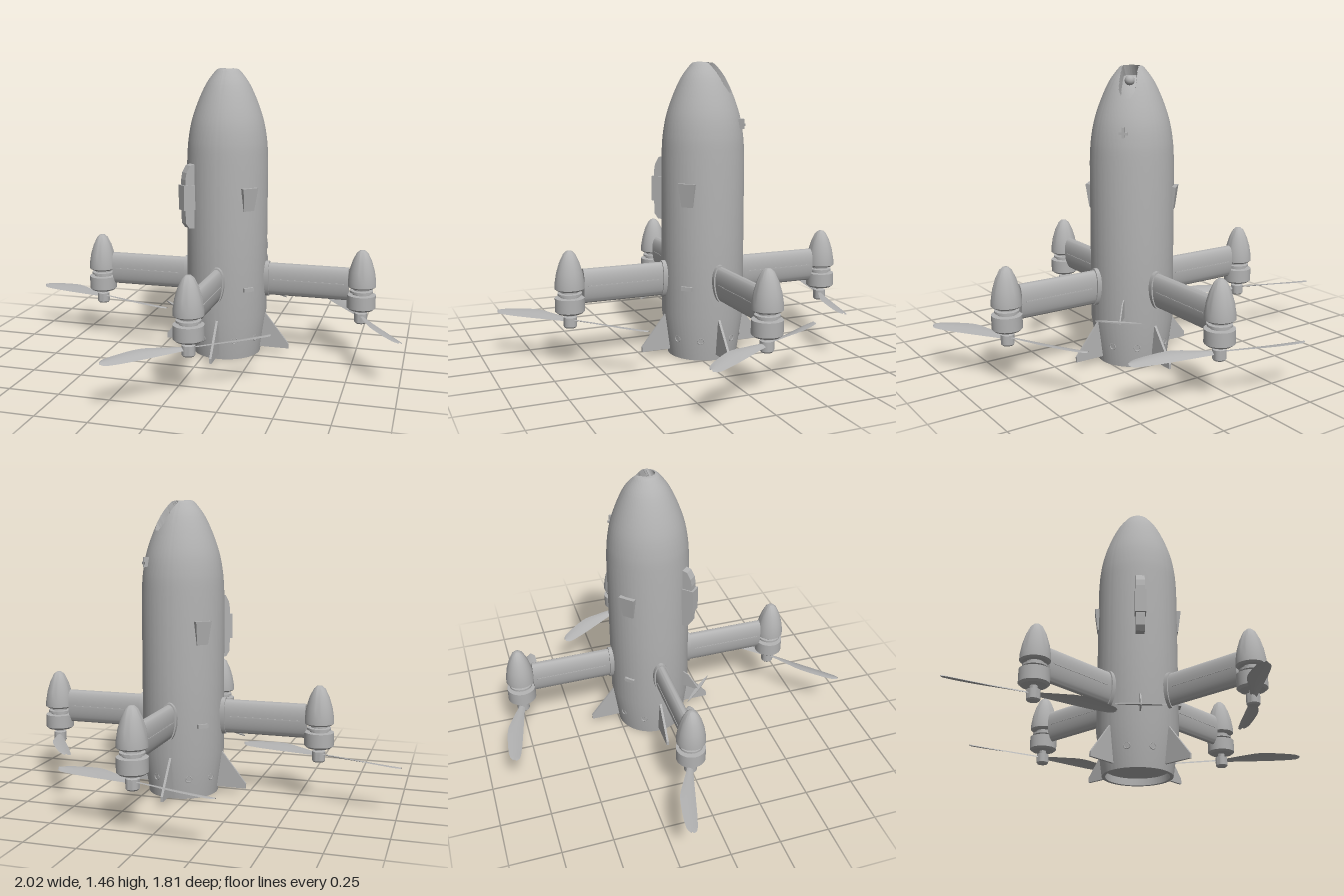
import * as THREE from 'three';
import { toCreasedNormals } from 'three/addons/utils/BufferGeometryUtils.js';

const V = (x, y) => new THREE.Vector2(x, y);
const grey = new THREE.MeshStandardMaterial({ color: 0xb2b2b2, side: THREE.DoubleSide });
grey.name = 'grey';

function add(parent, name, geometry, x = 0, y = 0, z = 0) {
  const mesh = new THREE.Mesh(geometry, grey);
  mesh.name = name;
  mesh.position.set(x, y, z);
  parent.add(mesh);
  return mesh;
}

// Group turned about the body axis; its local +x points outward
function radial(parent, name, degrees) {
  const g = new THREE.Group();
  g.name = name;
  g.rotation.y = THREE.MathUtils.degToRad(degrees);
  parent.add(g);
  return g;
}

const lathe = (points, n = 40) =>
  toCreasedNormals(new THREE.LatheGeometry(points.map(p => V(...p)), n), 0.6);

// Upright plate in the local x-y plane, centred on z = 0
function plate(points, depth) {
  const g = new THREE.ExtrudeGeometry(new THREE.Shape(points.map(p => V(...p))), { depth, bevelEnabled: false });
  return g.translate(0, 0, -depth / 2);
}

// Bullet-shaped hull with a camera slot sunk into the nose
function bodyGeometry() {
  const nose = new THREE.SplineCurve([V(0.206, 1.0), V(0.2, 1.1), V(0.183, 1.2), V(0.15, 1.3),
    V(0.108, 1.39), V(0.062, 1.452), V(0.046, 1.462)]).getPoints(70);
  const pts = [V(0, 0.035), V(0.158, 0.035), V(0.158, 0), V(0.175, 0), V(0.206, 0.22), V(0.206, 0.6), ...nose];
  for (let r = 0.04; r > 0.001; r -= 0.005) pts.push(V(r, 1.464));
  pts.push(V(0, 1.464));
  const g = new THREE.LatheGeometry(pts, 160);
  const p = g.attributes.position;
  for (let i = 0; i < p.count; i++) {
    const x = p.getX(i), y = p.getY(i), z = p.getZ(i);
    if (y < 1.2) continue;
    const u = (x - z) * Math.SQRT1_2, t = (x + z) * Math.SQRT1_2;
    const du = u - THREE.MathUtils.clamp(u, 0.0, 0.105);
    if (Math.hypot(du, t) < 0.038) p.setXYZ(i, x - 0.02, y - 0.05, z + 0.02);
  }
  return toCreasedNormals(g, 0.6);
}

// Streamlined arm section: rounded upper edge, tapering lower edge
function armGeometry(from, to, grow = 0) {
  const w = 0.031 + grow, top = 0.482 + grow, low = 0.312 - grow;
  const s = new THREE.Shape();
  s.moveTo(0, low);
  s.bezierCurveTo(w * 0.4, low, w, 0.35, w, 0.415);
  s.bezierCurveTo(w, 0.455, w * 0.6, top, 0, top);
  s.bezierCurveTo(-w * 0.6, top, -w, 0.455, -w, 0.415);
  s.bezierCurveTo(-w, 0.35, -w * 0.4, low, 0, low);
  const g = new THREE.ExtrudeGeometry(s, { depth: to - from, bevelEnabled: false, curveSegments: 10 });
  return toCreasedNormals(g.rotateY(Math.PI / 2).translate(from, 0, 0), 0.7);
}

// Curved, pitched propeller blade along local +x
function bladeGeometry() {
  const lead = new THREE.SplineCurve([V(0, 0.012), V(0.25, 0.03), V(0.5, 0.045), V(0.75, 0.032), V(0.94, 0.012), V(1, -0.01)]);
  const trail = new THREE.SplineCurve([V(0, -0.012), V(0.25, -0.02), V(0.5, -0.029), V(0.75, -0.037), V(0.94, -0.038), V(1, -0.022)]);
  const g = new THREE.PlaneGeometry(1, 1, 28, 6);
  const p = g.attributes.position;
  for (let i = 0; i < p.count; i++) {
    const s = p.getX(i) + 0.5, w = 0.5 - p.getY(i);
    const a = trail.getPoint(s), b = lead.getPoint(s);
    const v = a.y + (b.y - a.y) * w;
    p.setXYZ(i, 0.015 + a.x * 0.41, v * (0.4 - 0.2 * s) + 0.006 * Math.sin(Math.PI * w), v);
  }
  g.computeVertexNormals();
  return g;
}

export function createModel() {
  const model = new THREE.Group();
  model.name = 'verticalDrone';
  const root = new THREE.Group();
  root.name = 'airframe';
  root.position.set(0.087, 0, -0.07);
  model.add(root);

  add(root, 'body', bodyGeometry());

  // Camera sitting in the nose slot
  const nose = radial(root, 'noseCamera', 45);
  add(nose, 'cameraLens', new THREE.SphereGeometry(0.024, 20, 14), 0.05, 1.395, 0);

  // Geometry shared by the four arms
  const arm = armGeometry(0.19, 0.63);
  const collar = armGeometry(0.18, 0.225, 0.008);
  const cone = lathe([[0, 0.385], [0.062, 0.385], [0.072, 0.393], [0.071, 0.42], [0.063, 0.47], [0.048, 0.52],
    [0.029, 0.56], [0.014, 0.574], [0, 0.577]]);
  const motor = lathe([[0, 0.272], [0.06, 0.272], [0.072, 0.282], [0.072, 0.348], [0.045, 0.35], [0.045, 0.358],
    [0.058, 0.36], [0.058, 0.37], [0.04, 0.372], [0.04, 0.386]]);
  const hub = lathe([[0, 0.2], [0.026, 0.2], [0.032, 0.207], [0.032, 0.252], [0.018, 0.256], [0.018, 0.274]], 24);
  const blade = bladeGeometry();
  const fin = plate([[0.16, 0.03], [0.33, 0.03], [0.33, 0.055], [0.203, 0.215], [0.16, 0.215]], 0.012);

  // Blade headings in the ground plane for right, back, left and front props
  const headings = [[37, 69], [76, 24], [75, 27], [61, -51]];
  headings.forEach(([dx, dz], i) => {
    const g = radial(root, 'armAssembly', i * 90);
    add(g, 'arm', arm);
    add(g, 'armCollar', collar);
    add(g, 'armSeam', new THREE.BoxGeometry(0.36, 0.005, 0.066), 0.43, 0.4, 0);
    add(g, 'motorCone', cone, 0.695);
    add(g, 'motor', motor, 0.695);
    add(g, 'propellerHub', hub, 0.695);
    add(g, 'tailFin', fin);

    const prop = new THREE.Group();
    prop.name = 'propeller';
    prop.position.set(0.695, 0.235, 0);
    prop.rotation.y = Math.atan2(-dz, dx) - i * Math.PI / 2;
    g.add(prop);
    for (const turn of [0, Math.PI]) add(prop, 'blade', blade).rotation.y = turn;

    // Pair of round ports beside each fin
    for (const side of [-26, 26]) {
      const port = radial(g, 'port', side);
      const ring = add(port, 'portRing', new THREE.TorusGeometry(0.015, 0.003, 8, 20), 0.189, 0.103, 0);
      ring.rotation.y = Math.PI / 2;
    }
  });

  // Scoops and small latches on two opposite diagonals
  for (const a of [-45, 135]) {
    const g = radial(root, 'scoopSide', a);
    const scoop = new THREE.BoxGeometry(0.04, 0.115, 0.085);
    const p = scoop.attributes.position;
    for (let i = 0; i < p.count; i++) {
      if (p.getY(i) < 0) {
        p.setZ(i, p.getZ(i) * 0.68);
        if (p.getX(i) > 0) p.setX(i, 0.005);
      }
    }
    scoop.computeVertexNormals();
    add(g, 'scoop', scoop, 0.205, 0.828, 0);
    add(g, 'latch', new THREE.BoxGeometry(0.03, 0.02, 0.055), 0.203, 0.37, 0);
  }

  // T-shaped stabilisers on the other diagonals
  const spindle = new THREE.Shape();
  spindle.moveTo(0, -0.122);
  spindle.quadraticCurveTo(0.018, 0, 0, 0.122);
  spindle.quadraticCurveTo(-0.02, 0, 0, -0.122);
  const tee = new THREE.ExtrudeGeometry(spindle, { depth: 0.006, bevelEnabled: false }).rotateX(-Math.PI / 2);
  const gusset = plate([[0.19, 0.265], [0.3, 0.265], [0.285, 0.285], [0.235, 0.345], [0.19, 0.36]], 0.006);
  for (const a of [45, 225]) {
    const g = radial(root, 'stabiliser', a);
    add(g, 'gusset', gusset);
    add(g, 'crossBlade', tee, 0.292, 0.267, 0);
  }

  // Side pod with a raised middle insert
  const pod = radial(root, 'sidePod', 225);
  add(pod, 'podShell', plate([[0.19, 0.67], [0.235, 0.675], [0.253, 0.7], [0.256, 0.76], [0.256, 0.92],
    [0.25, 0.955], [0.23, 0.99], [0.19, 1.0]], 0.045));
  add(pod, 'podInsert', new THREE.BoxGeometry(0.07, 0.125, 0.057), 0.232, 0.83, 0);

  // Small clip high on the rear diagonal
  const clip = radial(root, 'clip', 45);
  add(clip, 'clipStem', new THREE.BoxGeometry(0.04, 0.05, 0.01), 0.195, 1.165, 0);
  add(clip, 'clipBar', new THREE.BoxGeometry(0.012, 0.012, 0.04), 0.208, 1.16, 0);

  return model;
}
